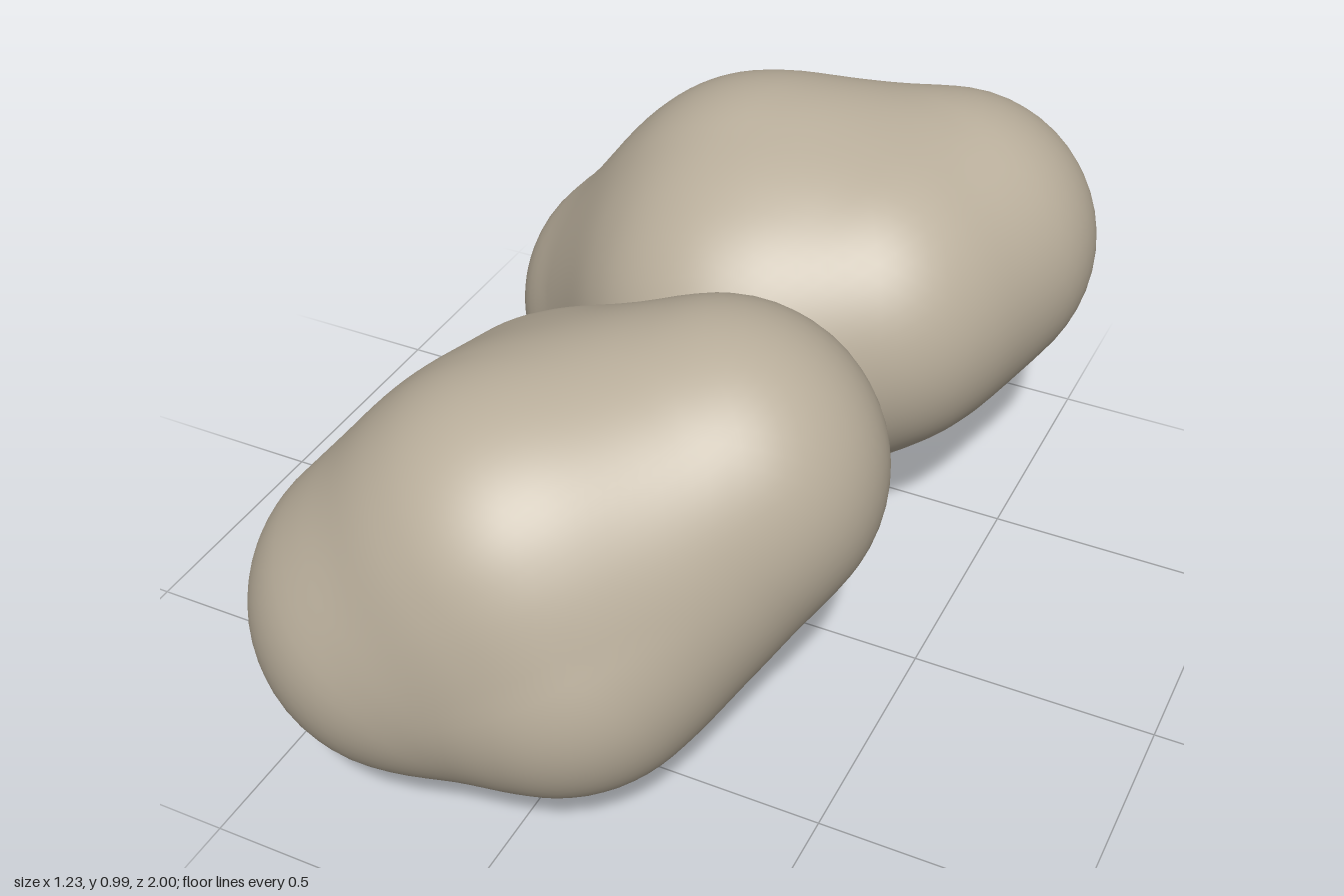
import * as THREE from 'three';
import { mergeVertices } from 'three/addons/utils/BufferGeometryUtils.js';

const BLEND = 0.025;
const BULGE = 0.26;

// Turns lobes [x, y, z, radius] and pairs of lobe numbers into tapered capsules.
// Lobes shared by several capsules are trimmed by the swelling that blending adds.
function capsules(lobes, links) {
  const ends = lobes.map(([x, y, z, r], i) => {
    const shared = links.filter((link) => link.includes(i)).length;
    return { c: new THREE.Vector3(x, y, z), r: r - 0.9 * BLEND * Math.log(shared) };
  });
  return links.map(([i, j]) => {
    const a = ends[i];
    const b = ends[j];
    const axis = b.c.clone().sub(a.c);
    return { a, b, axis, length: axis.length() };
  });
}

// Signed distance to the smooth union of the capsules, which swell along their middle
const offset = new THREE.Vector3();
function field(p, parts) {
  let sum = 0;
  for (const { a, b, axis, length } of parts) {
    offset.subVectors(p, a.c);
    const t = THREE.MathUtils.clamp(offset.dot(axis) / (length * length), 0, 1);
    const r = THREE.MathUtils.lerp(a.r, b.r, t) + BULGE * length * t * (1 - t);
    sum += Math.exp((r - offset.addScaledVector(axis, -t).length()) / BLEND);
  }
  return -BLEND * Math.log(sum);
}

// Projects a fine icosphere outwards onto the blended surface
function boulder(name, material, centre, lobes, links) {
  const parts = capsules(lobes, links);
  let geo = new THREE.IcosahedronGeometry(1, 18);
  geo.deleteAttribute('uv');
  geo.deleteAttribute('normal');
  geo = mergeVertices(geo, 1e-4);
  const pos = geo.attributes.position;
  const dir = new THREE.Vector3();
  const p = new THREE.Vector3();
  for (let i = 0; i < pos.count; i++) {
    dir.fromBufferAttribute(pos, i).normalize();
    let inside = 0;
    let outside = 1.2;
    for (let k = 0; k < 24; k++) {
      const t = (inside + outside) / 2;
      p.copy(centre).addScaledVector(dir, t);
      if (field(p, parts) < 0) inside = t;
      else outside = t;
    }
    p.copy(centre).addScaledVector(dir, inside);
    pos.setXYZ(i, p.x, p.y, p.z);
  }
  geo.computeVertexNormals();
  const mesh = new THREE.Mesh(geo, material);
  mesh.name = name;
  return mesh;
}

export function createModel() {
  const group = new THREE.Group();
  group.name = 'boulders';
  const stone = new THREE.MeshStandardMaterial({ color: 0xb9ae9b });
  stone.name = 'stone';

  // Front boulder: two ends on a diagonal, joined through a full middle
  group.add(boulder('frontBoulder', stone, new THREE.Vector3(0, 0.55, 0.54), [
    [0.235, 0.68, 0.39, 0.30], // high left end
    [-0.21, 0.43, 0.685, 0.31], // low right end
    [-0.03, 0.61, 0.635, 0.325], // top
    [-0.06, 0.55, 0.395, 0.31], // rear
    [0.06, 0.46, 0.665, 0.30], // front
    [0.02, 0.46, 0.52, 0.325], // belly
  ], [[0, 1], [0, 2], [0, 3], [0, 4], [0, 5], [1, 2], [1, 3], [1, 4], [1, 5],
    [2, 3], [2, 4], [3, 5], [4, 5]]));

  // Back boulder: a shoulder on each side, a low rear lobe and a rounded front
  group.add(boulder('backBoulder', stone, new THREE.Vector3(0.02, 0.5, -0.47), [
    [0.30, 0.63, -0.58, 0.31], // left shoulder
    [-0.30, 0.37, -0.47, 0.31], // right shoulder
    [0.04, 0.30, -0.70, 0.30], // low rear
    [0, 0.56, -0.27, 0.35], // front
    [-0.04, 0.63, -0.42, 0.34], // top
    [0.21, 0.60, -0.36, 0.325], // left flank
    [-0.01, 0.46, -0.31, 0.325], // belly
    [0.18, 0.47, -0.60, 0.29], // neck above the low rear
    [0, 0.50, -0.55, 0.30], // middle of the back
  ], [[0, 4], [0, 5], [0, 7], [0, 8], [1, 2], [1, 3], [1, 4], [1, 6], [1, 8],
    [2, 6], [2, 7], [2, 8], [3, 4], [3, 5], [3, 6], [4, 5], [5, 6], [5, 7], [6, 7]]));

  return group;
}
